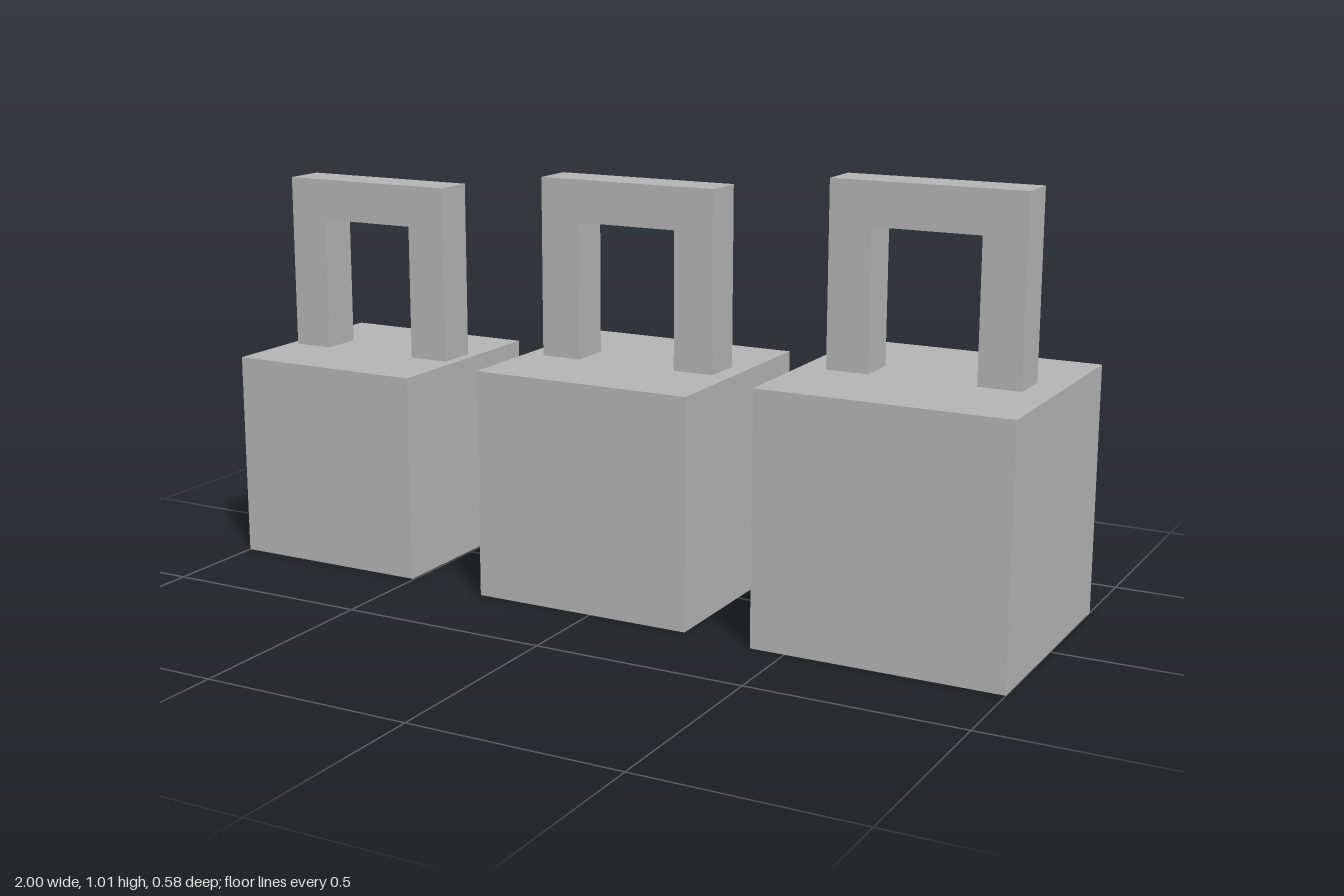
import * as THREE from 'three';

const HANDLE = { width: 0.45, height: 0.425, bar: 0.1, depth: 0.1 };

// Square arch, open at the bottom, standing on y = 0
function handleGeometry({ width, height, bar, depth }) {
  const o = width / 2, i = o - bar;
  const arch = new THREE.Shape([
    [-o, 0], [-i, 0], [-i, height - bar], [i, height - bar],
    [i, 0], [o, 0], [o, height], [-o, height],
  ].map(([x, y]) => new THREE.Vector2(x, y)));
  return new THREE.ExtrudeGeometry(arch, { depth, bevelEnabled: false })
    .translate(0, 0, -depth / 2);
}

export function createModel() {
  const grey = new THREE.MeshStandardMaterial({ color: 0xb3b3b3 });
  grey.name = 'grey';
  const model = new THREE.Group();
  model.name = 'handledWeights';
  const arch = handleGeometry(HANDLE);

  // Three cubes of growing size, each with the same handle
  const weights = [
    { name: 'smallWeight', size: 0.495, x: -0.7525, handleX: -0.755 },
    { name: 'mediumWeight', size: 0.54, x: -0.025, handleX: -0.025 },
    { name: 'largeWeight', size: 0.583, x: 0.7085, handleX: 0.705 },
  ];
  for (const { name, size, x, handleX } of weights) {
    const weight = new THREE.Group();
    weight.name = name;

    const block = new THREE.Mesh(new THREE.BoxGeometry(size, size, size), grey);
    block.name = 'block';
    block.position.set(x, size / 2, 0);

    const handle = new THREE.Mesh(arch, grey);
    handle.name = 'handle';
    handle.position.set(handleX, size, 0);

    weight.add(block, handle);
    model.add(weight);
  }
  return model;
}
